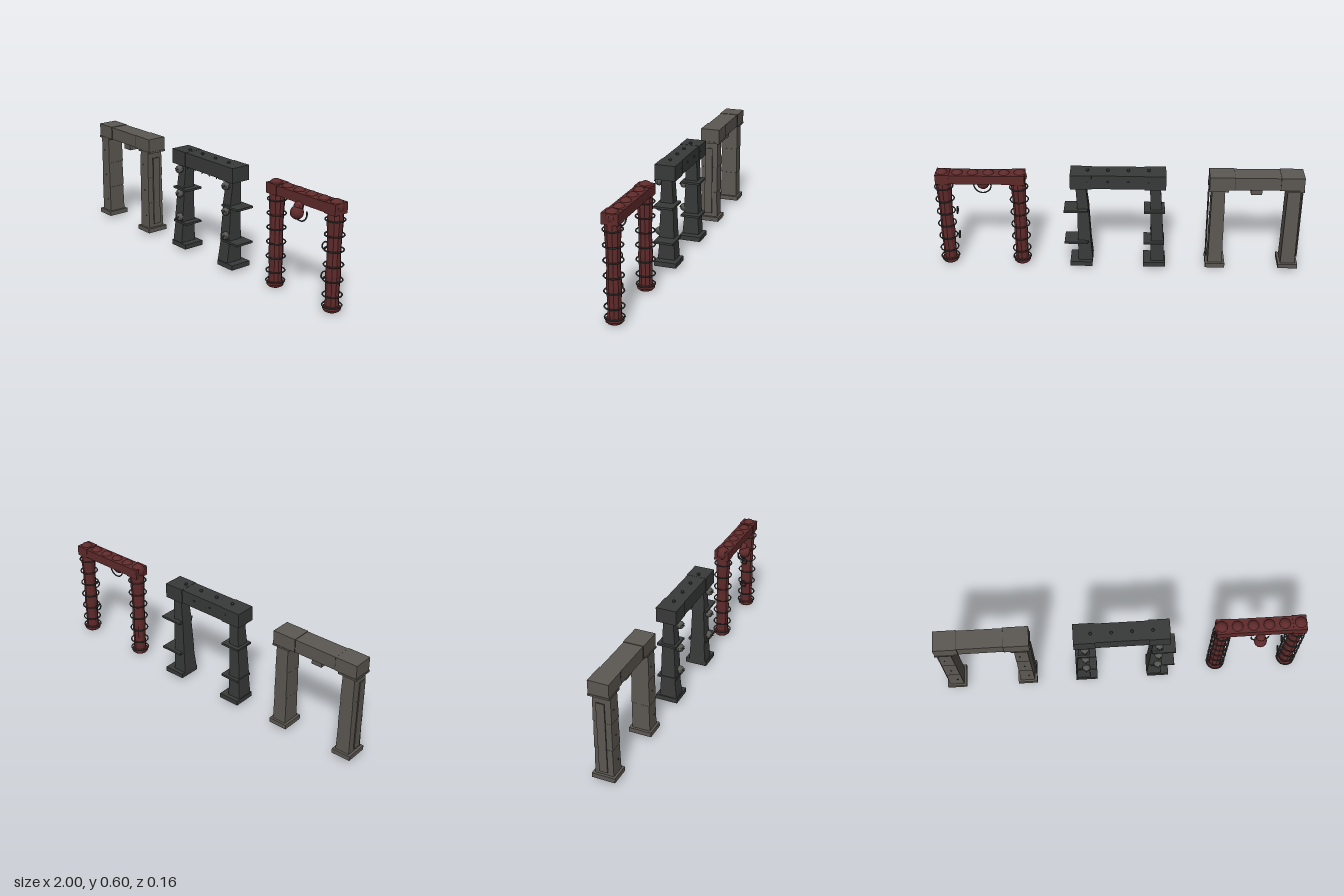
import * as THREE from 'three';

const mat = (name, color, flat = true) => {
  const m = new THREE.MeshStandardMaterial({ color, flatShading: flat });
  m.name = name;
  return m;
};

export function createModel() {
  const root = new THREE.Group();
  root.name = 'threeArches';
  const stone = mat('warm grey stone', 0x5c5852);
  const iron = mat('dark iron', 0x383a39);
  const flesh = mat('dark red', 0x5f2a2a);
  const metal = mat('ring metal', 0x3d403d);
  const bone = mat('grey bone', 0x565653);

  const group = (name) => {
    const g = new THREE.Group();
    g.name = name;
    root.add(g);
    return g;
  };
  const add = (g, name, geo, m, x, y, z) => {
    const mesh = new THREE.Mesh(geo, m);
    mesh.name = name;
    mesh.position.set(x, y, z);
    g.add(mesh);
    return mesh;
  };
  // Box given by its limits
  const box = (g, name, m, x0, x1, y0, y1, z0, z1) =>
    add(g, name, new THREE.BoxGeometry(x1 - x0, y1 - y0, z1 - z0), m, (x0 + x1) / 2, (y0 + y1) / 2, (z0 + z1) / 2);
  // Leaning, tapering block: bottom and top are [xMin, xMax, zMin, zMax]
  const block = (g, name, m, y0, y1, bottom, top) => {
    const geo = new THREE.BoxGeometry(1, 1, 1);
    const p = geo.attributes.position;
    for (let i = 0; i < p.count; i++) {
      const s = p.getY(i) > 0 ? top : bottom;
      p.setXYZ(i, s[p.getX(i) > 0 ? 1 : 0], p.getY(i) > 0 ? y1 : y0, s[p.getZ(i) > 0 ? 3 : 2]);
    }
    geo.computeVertexNormals();
    return add(g, name, geo, m, 0, 0, 0);
  };

  // Stone arch
  const a = group('stoneArch');
  for (const [cx, side] of [[-0.945, -1], [-0.54, 1]]) {
    box(a, 'stoneBase', stone, cx - 0.054, cx + 0.054, 0.02, 0.046, -0.077, 0.05);
    for (let i = 0; i < 3; i++) {
      const y = 0.046 + i * 0.155;
      const w = 0.04 - i * 0.0015;
      block(a, 'stoneLegBlock', stone, y, y + 0.154,
        [cx - w, cx + w, -0.064, 0.038], [cx - w + 0.002, cx + w - 0.002, -0.061, 0.035]);
      // Small chips on the front of each block
      box(a, 'stoneChip', iron, cx + 0.01 - i * 0.012, cx + 0.016 - i * 0.012, y + 0.07, y + 0.076, 0.034, 0.04);
    }
    box(a, 'stoneCapital', stone, cx - 0.053, cx + 0.053, 0.505, 0.515, -0.077, 0.04);
    const sx = cx + side * 0.05;
    box(a, 'sideStrip', stone, sx - 0.003, sx + 0.003, 0.07, 0.475, -0.035, 0.01);
  }
  box(a, 'lintelLeftStone', stone, -0.995, -0.871, 0.515, 0.59, -0.075, 0.037);
  box(a, 'lintelMiddleStone', stone, -0.869, -0.626, 0.515, 0.588, -0.072, 0.034);
  box(a, 'lintelRightStone', stone, -0.624, -0.49, 0.515, 0.59, -0.075, 0.037);
  for (const x of [-0.87, -0.625]) box(a, 'lintelSeam', iron, x - 0.0015, x + 0.0015, 0.516, 0.587, -0.0755, 0.0375);
  box(a, 'keystone', stone, -0.775, -0.715, 0.475, 0.515, -0.049, 0.012);

  // Dark arch
  const b = group('darkArch');
  box(b, 'darkLintel', iron, -0.25, 0.255, 0.51, 0.59, -0.067, 0.041);
  for (const s of [-1, 1]) box(b, 'lintelEnd', iron, s * 0.2 - 0.058, s * 0.2 + 0.058, 0.508, 0.591, -0.071, 0.044);
  for (const x of [-0.165, -0.055, 0.055, 0.165]) {
    add(b, 'topStud', new THREE.SphereGeometry(0.009, 8, 6), iron, x, 0.595, -0.01);
    add(b, 'backStud', new THREE.SphereGeometry(0.006, 6, 4), iron, x, 0.555, -0.068);
  }
  for (let i = 0; i < 6; i++) {
    add(b, 'hangingSpike', new THREE.ConeGeometry(0.008, 0.026, 6), iron, -0.155 + i * 0.062, 0.498, 0.015).rotation.x = Math.PI;
  }
  // Widths of the leg at the section joints, for the two leaning legs
  const joints = [0.045, 0.165, 0.365, 0.51];
  const legs = [
    { cx: -0.203, xs: [[-0.257, -0.182], [-0.252, -0.182], [-0.24, -0.178], [-0.23, -0.172]], plate: [-0.255, -0.142] },
    { cx: 0.203, xs: [[0.14, 0.22], [0.15, 0.222], [0.16, 0.222], [0.175, 0.23]], plate: [0.165, 0.295] },
  ];
  for (const { cx, xs, plate } of legs) {
    box(b, 'darkBase', iron, cx - 0.06, cx + 0.062, 0.02, 0.047, -0.077, 0.048);
    for (let i = 0; i < 3; i++) {
      const f = 0.043 - i * 0.008;
      block(b, 'darkLegBlock', iron, joints[i], joints[i + 1],
        [...xs[i], -0.055 + i * 0.004, f], [...xs[i + 1], -0.05 + i * 0.004, f - 0.012]);
    }
    for (const y of [0.167, 0.366]) box(b, 'legShelf', iron, ...plate, y - 0.006, y + 0.006, -0.07, 0.04);
    // Spiked knobs on the front
    for (const y of [0.2, 0.34, 0.482]) {
      const kx = Math.sign(cx) * 0.2;
      add(b, 'knob', new THREE.SphereGeometry(0.023, 10, 8), bone, kx, y, 0.04);
      add(b, 'knobTip', new THREE.ConeGeometry(0.007, 0.016, 6), iron, kx, y, 0.064).rotation.x = Math.PI / 2;
      for (const s of [-1, 1]) add(b, 'knobStud', new THREE.SphereGeometry(0.005, 6, 4), iron, kx + s * 0.009, y + 0.006, 0.058);
    }
  }

  // Red arch
  const c = group('redArch');
  const cz = -0.013;
  const profile = [[0.036, 0.03], [0.035, 0.12], [0.039, 0.2], [0.035, 0.3], [0.037, 0.4], [0.042, 0.48], [0.038, 0.54]]
    .map(([r, y]) => new THREE.Vector2(r, y));
  for (const cx of [0.54, 0.947]) {
    add(c, 'redColumn', new THREE.LatheGeometry(profile, 10), flesh, cx, 0, cz);
    add(c, 'redFoot', new THREE.SphereGeometry(0.047, 14, 10), flesh, cx, 0.027, cz).scale.y = 0.52;
    const rings = [0.042, 0.098, 0.177, 0.256, 0.334, 0.411, 0.489];
    for (const y of rings) {
      add(c, 'columnRing', new THREE.TorusGeometry(0.049, 0.004, 6, 20), metal, cx, y, cz).rotation.x = Math.PI / 2;
    }
    box(c, 'redCapital', flesh, cx - 0.037, cx + 0.037, 0.52, 0.577, -0.056, 0.03);
  }
  for (const y of [0.18, 0.337]) {
    add(c, 'looseLink', new THREE.TorusGeometry(0.019, 0.004, 6, 14), metal, 0.885, y, cz).rotation.y = Math.PI / 2;
  }
  box(c, 'redLintel', flesh, 0.505, 0.98, 0.523, 0.574, -0.054, 0.028);
  for (let i = 0; i < 6; i++) {
    const end = i === 0 || i === 5;
    add(c, 'lintelBulge', new THREE.SphereGeometry(end ? 0.039 : 0.036, 12, 10), flesh, 0.531 + i * 0.0842, 0.555, cz);
  }
  add(c, 'hangingOrb', new THREE.SphereGeometry(0.035, 12, 10), flesh, 0.742, 0.48, 0.043);
  add(c, 'orbNeck', new THREE.SphereGeometry(0.026, 10, 8), flesh, 0.742, 0.51, 0.032);
  // Half ring cradling the orb
  add(c, 'orbCradle', new THREE.TorusGeometry(0.047, 0.004, 6, 18, Math.PI * 1.2), metal, 0.742, 0.478, 0.02).rotation.z = Math.PI * 0.9;

  return root;
}
